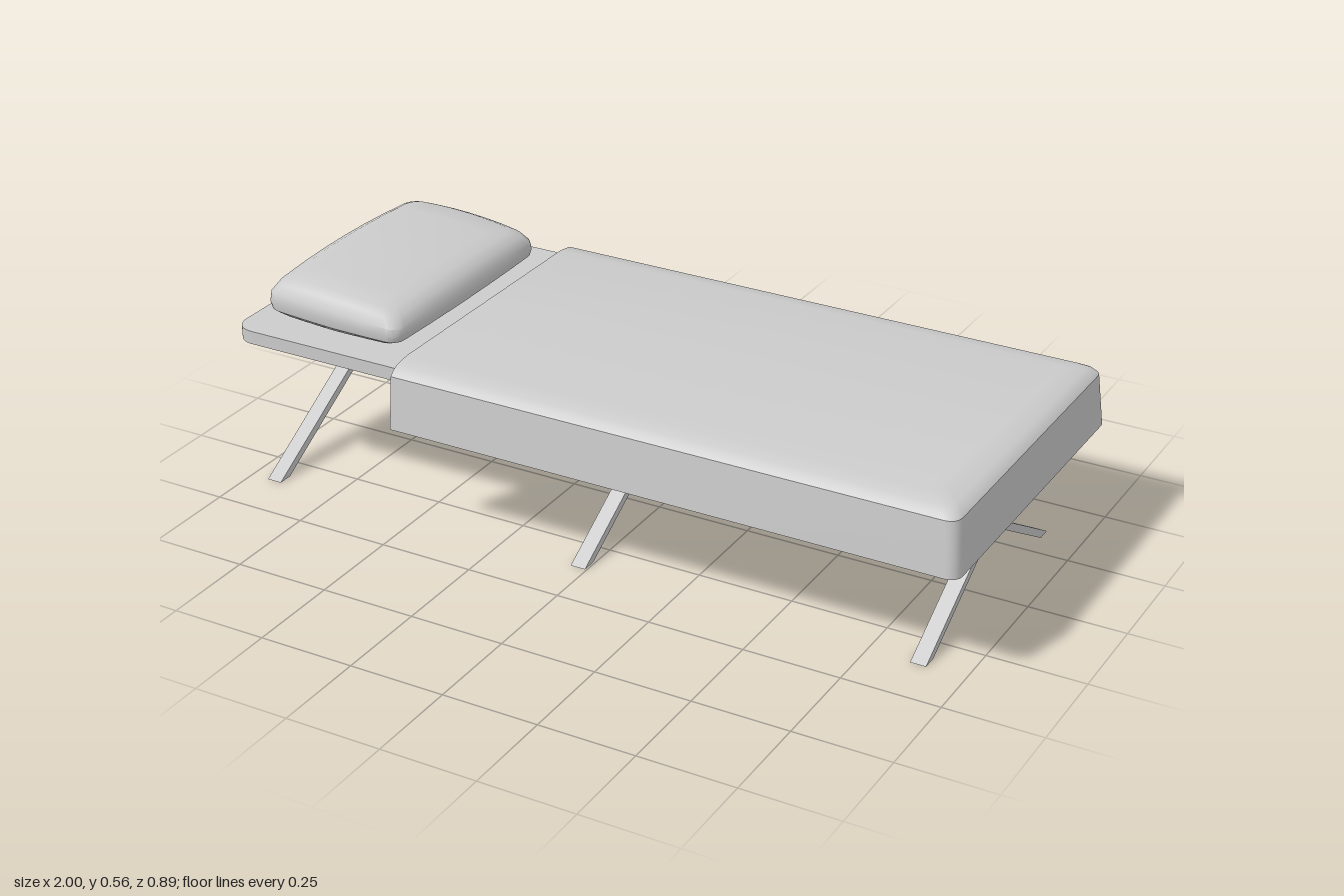
import * as THREE from 'three';
import { toCreasedNormals } from 'three/addons/utils/BufferGeometryUtils.js';

const grey = new THREE.MeshStandardMaterial({ color: 0xcccccc });
const cloth = new THREE.MeshStandardMaterial({ color: 0xcccccc, side: THREE.DoubleSide });

function addMesh(parent, name, geometry, material = grey) {
  const mesh = new THREE.Mesh(geometry, material);
  mesh.name = name;
  parent.add(mesh);
  return mesh;
}

// Skin over a stack of rings, each ring running counter-clockwise seen from above
function loft(rings, closed, crease) {
  const n = rings[0].length;
  const index = [];
  for (let j = 0; j < rings.length - 1; j++) {
    for (let i = 0; i < (closed ? n : n - 1); i++) {
      const k = (i + 1) % n;
      const a = j * n + i, b = j * n + k, c = a + n, d = b + n;
      index.push(a, b, d, a, d, c);
    }
  }
  const geometry = new THREE.BufferGeometry();
  geometry.setAttribute('position', new THREE.Float32BufferAttribute(rings.flat(2), 3));
  geometry.setIndex(index);
  return toCreasedNormals(geometry, crease);
}

// Rounded rectangle as [x, z] points, with extra points along each side
function roundedRing(hx, hz, r, arc = 4, side = 6) {
  const points = [];
  const corners = [[1, -1], [-1, -1], [-1, 1], [1, 1]];
  corners.forEach(([sx, sz], q) => {
    for (let i = 0; i <= arc; i++) {
      const a = (q + i / arc) * Math.PI / 2;
      points.push([sx * (hx - r) + r * Math.cos(a), sz * (hz - r) - r * Math.sin(a)]);
    }
    const from = points[points.length - 1];
    const [tx, tz] = corners[(q + 1) % 4];
    const a = (q + 1) * Math.PI / 2;
    const to = [tx * (hx - r) + r * Math.cos(a), tz * (hz - r) - r * Math.sin(a)];
    for (let i = 1; i < side; i++) {
      const t = i / side;
      points.push([from[0] + (to[0] - from[0]) * t, from[1] + (to[1] - from[1]) * t]);
    }
  });
  return points;
}

// Flat board with rounded corners
function boardGeometry(x0, x1, hz, y0, y1, r) {
  const shape = new THREE.Shape();
  shape.moveTo(x0 + r, -hz);
  shape.lineTo(x1 - r, -hz);
  shape.absarc(x1 - r, -hz + r, r, -Math.PI / 2, 0);
  shape.absarc(x1 - r, hz - r, r, 0, Math.PI / 2);
  shape.absarc(x0 + r, hz - r, r, Math.PI / 2, Math.PI);
  shape.absarc(x0 + r, -hz + r, r, Math.PI, Math.PI * 1.5);
  const geometry = new THREE.ExtrudeGeometry(shape, { depth: y1 - y0, bevelEnabled: false, curveSegments: 6 });
  geometry.rotateX(-Math.PI / 2).translate(0, y0, 0);
  return toCreasedNormals(geometry, 0.6);
}

// Draped sheet: hanging sides and foot end, open at the head end
function blanketGeometry() {
  const r = 0.03;
  const profile = [[0, 0.295], [0.013, 0.433], [0.022, 0.443], [0.04, 0.453], [0.085, 0.46]];
  const rings = profile.map(([inset, y]) => {
    const x1 = 1 - inset, hz = 0.447 - inset;
    const half = [[-0.5, y, hz]];
    for (let i = 0; i <= 4; i++) {
      const a = i / 4 * Math.PI / 2;
      half.push([x1 - r + r * Math.sin(a), y, hz - r + r * Math.cos(a)]);
    }
    return [...half, ...half.map(([x, h, z]) => [x, h, -z]).reverse()];
  });
  // close the flat top along its centre line
  rings.push(rings[rings.length - 1].map(([x, y]) => [x, y, 0]));
  return loft(rings, false, 0.5);
}

// Soft cushion, thicker towards the head end
function pillowGeometry() {
  const hx = 0.2, hz = 0.325, cx = -0.75;
  const bottom = (x) => 0.437 + 0.008 * Math.max(0, -x / hx);
  const top = (x, z) => 0.543 - 0.07 * x - 0.35 * x * x + 0.013 * (1 - (z / hz) ** 2);
  // [inset, height fraction, scale towards the centre]
  const levels = [
    [0.06, 0, 0], [0.06, 0, 1], [0.025, 0.08, 1], [0.004, 0.25, 1], [0, 0.45, 1], [0.003, 0.68, 1],
    [0.02, 0.9, 1], [0.045, 1, 1], [0.045, 1, 0.75], [0.045, 1, 0.5], [0.045, 1, 0.25], [0.045, 1, 0],
  ];
  const rings = levels.map(([inset, t, s]) =>
    roundedRing(hx - inset, hz - inset, 0.03).map(([px, pz]) => {
      // sides bow slightly outwards
      const x = s * px * (1.03 - 0.05 * (pz / hz) ** 2);
      const z = s * pz * (1.03 - 0.03 * (px / hx) ** 2);
      const low = bottom(x);
      return [cx + x, low + (top(x, z) - low) * t, z];
    }));
  return loft(rings, true, 0.6);
}

// One slanted bar, cut level at the floor and under the board
function legGeometry(width) {
  const foot = 0.342, half = 0.02, height = 0.4;
  const shape = new THREE.Shape([
    new THREE.Vector2(-foot - half, 0),
    new THREE.Vector2(-foot + half, 0),
    new THREE.Vector2(foot + half, height),
    new THREE.Vector2(foot - half, height),
  ]);
  const geometry = new THREE.ExtrudeGeometry(shape, { depth: width, bevelEnabled: false });
  return geometry.translate(0, 0, -width / 2).rotateY(Math.PI / 2);
}

export function createModel() {
  const cot = new THREE.Group();
  cot.name = 'cot';

  addMesh(cot, 'board', boardGeometry(-1, 0.95, 0.395, 0.4, 0.435, 0.055));
  addMesh(cot, 'blanket', blanketGeometry(), cloth);
  addMesh(cot, 'pillow', pillowGeometry());

  // Three pairs of crossed legs
  const bar = legGeometry(0.04);
  for (const x of [-0.93, -0.025, 0.88]) {
    const pair = new THREE.Group();
    pair.name = 'crossedLegs';
    pair.position.x = x;
    addMesh(pair, 'legFrontToBack', bar);
    addMesh(pair, 'legBackToFront', bar).rotation.y = Math.PI;
    cot.add(pair);
  }
  return cot;
}
